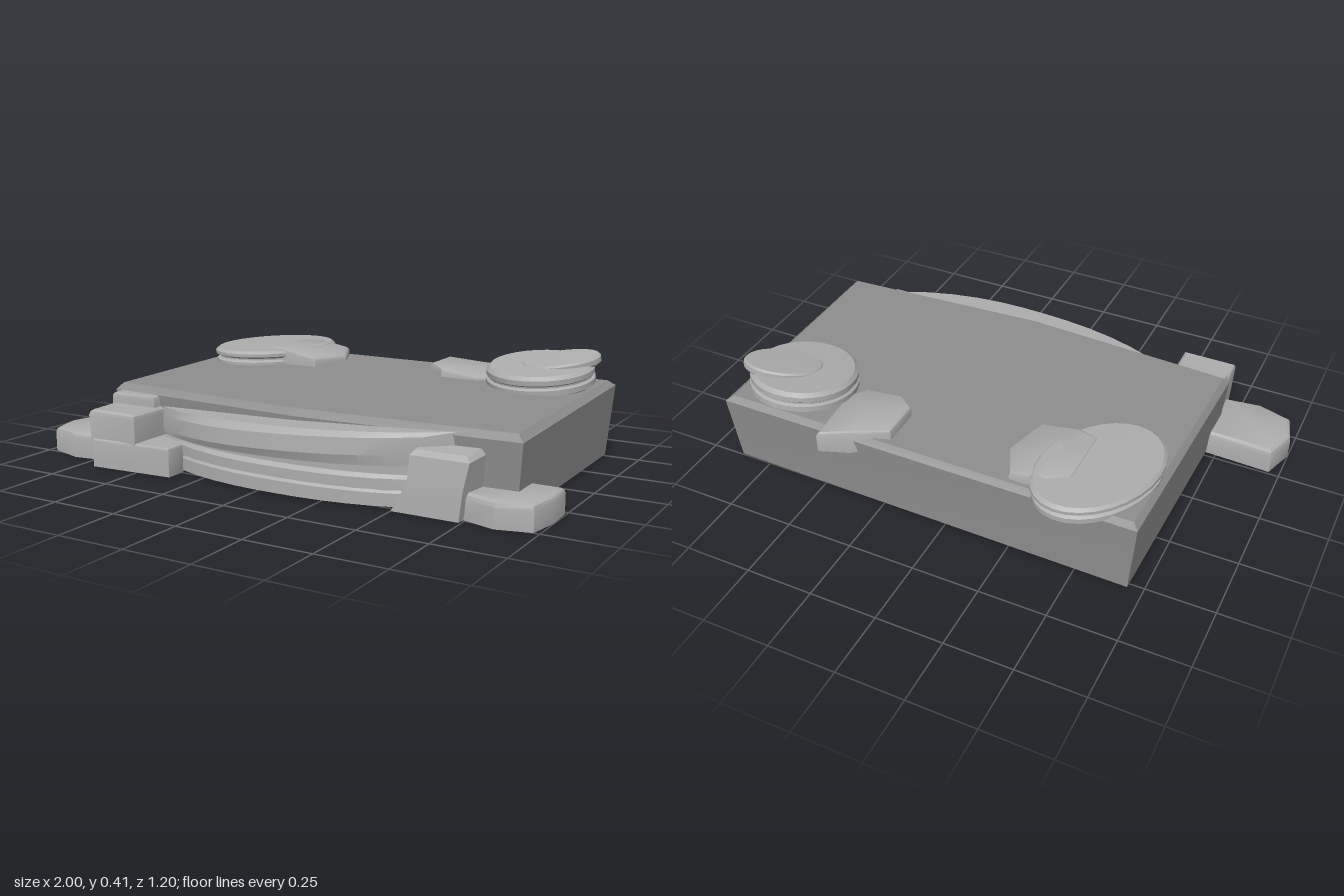
import * as THREE from 'three';
import { toCreasedNormals } from 'three/addons/utils/BufferGeometryUtils.js';

const stoneGrey = new THREE.MeshStandardMaterial({ color: 0xadadad });
const slabGrey = new THREE.MeshStandardMaterial({ color: 0x8e8e8e });

// Closed solid through a stack of rings, bottom to top; rings run front left -> right -> back.
function loft(rings, crease = 0.3) {
  const pos = [];
  const tri = (a, b, c) => pos.push(...a, ...b, ...c);
  const mid = r => [0, 1, 2].map(k => r.reduce((s, p) => s + p[k], 0) / r.length);
  const n = rings[0].length;
  for (let j = 0; j < rings.length - 1; j++) {
    for (let i = 0; i < n; i++) {
      const k = (i + 1) % n, a = rings[j], b = rings[j + 1];
      tri(a[i], a[k], b[k]);
      tri(a[i], b[k], b[i]);
    }
  }
  const low = rings[0], high = rings[rings.length - 1];
  const lowMid = mid(low), highMid = mid(high);
  for (let i = 0; i < n; i++) {
    const k = (i + 1) % n;
    tri(lowMid, low[k], low[i]);
    tri(highMid, high[i], high[k]);
  }
  const g = new THREE.BufferGeometry();
  g.setAttribute('position', new THREE.Float32BufferAttribute(pos, 3));
  g.computeVertexNormals();
  return toCreasedNormals(g, crease);
}

// Moves an [x, z] outline towards its middle by a distance.
function inset(outline, d) {
  const cx = outline.reduce((s, p) => s + p[0], 0) / outline.length;
  const cz = outline.reduce((s, p) => s + p[1], 0) / outline.length;
  return outline.map(([x, z]) => {
    const f = 1 - d / Math.hypot(x - cx, z - cz);
    return [cx + (x - cx) * f, cz + (z - cz) * f];
  });
}

// Stone with a rounded top edge; bottom and top heights may be functions of x and z.
function stone(outline, bottom, top, bevel = 0.015, foot = 0) {
  const at = h => (typeof h === 'function' ? h : () => h);
  const ring = (pts, h) => pts.map(([x, z]) => [x, h(x, z), z]);
  const lo = at(bottom), hi = at(top);
  return loft([
    ring(inset(outline, foot), lo),
    ring(outline, (x, z) => hi(x, z) - bevel),
    ring(inset(outline, bevel * 0.3), (x, z) => hi(x, z) - bevel * 0.35),
    ring(inset(outline, bevel), hi),
  ], 0.6);
}

// Round flat stones stacked as one turned profile.
function turned(profile, rx, rz, spin) {
  const g = new THREE.LatheGeometry(profile.map(p => new THREE.Vector2(...p)), 28);
  g.scale(rx, 1, rz);
  g.rotateY(spin);
  return toCreasedNormals(g, 0.5);
}

export function createModel() {
  const model = new THREE.Group();
  const add = (name, geometry, place = [0, 0, 0], tilt = [0, 0, 0], material = stoneGrey) => {
    const mesh = new THREE.Mesh(geometry, material);
    mesh.name = name;
    mesh.position.set(...place);
    mesh.rotation.set(...tilt);
    model.add(mesh);
  };

  // Main slab with a slightly pointed front and chamfered top edges
  const slabRing = (x0, x1, backLeft, backRight, front, tip, yFront, yBack) => [
    [x0, yFront, front], [0.08, yFront, tip], [x1, yFront, front],
    [x1 - 0.01, yBack, backLeft], [x0 + 0.02, yBack, backRight],
  ];
  add('slab', loft([
    slabRing(-0.715, 0.88, -0.5, -0.522, 0.39, 0.43, 0.005, 0.005),
    slabRing(-0.735, 0.9, -0.525, -0.525, 0.405, 0.45, 0.25, 0.27),
    slabRing(-0.715, 0.875, -0.505, -0.505, 0.385, 0.43, 0.274, 0.289),
  ], 0.2), [0, 0, 0], [0, 0, 0], slabGrey);

  // Bowed steps along the front
  const bow = (x0, x1, depth, h, back = 0.37) => {
    const pts = [];
    for (let i = 0; i <= 12; i++) {
      const x = x0 + (x1 - x0) * i / 12;
      const t = Math.abs(x - 0.08) / 0.6;
      pts.push([x, h(x), 0.41 + depth * (1 - t ** 2.4)]);
    }
    pts.push([x1, h(x1), back], [x0, h(x0), back]);
    return pts;
  };
  const slope = (y, rise) => x => y + rise * (x + 0.5) / 1.1;
  add('topStep', loft([
    bow(-0.5, 0.68, 0.155, slope(0.115, 0.03)),
    bow(-0.5, 0.68, 0.166, slope(0.13, 0.055)),
    bow(-0.5, 0.68, 0.16, slope(0.183, 0.06)),
    bow(-0.5, 0.68, 0.138, slope(0.212, 0.045)),
  ]));
  add('stepCore', loft([
    bow(-0.48, 0.64, 0.14, () => 0.03), bow(-0.48, 0.64, 0.14, slope(0.13, 0.03)),
  ]));
  add('middleStep', loft([
    bow(-0.48, 0.62, 0.16, () => 0.068), bow(-0.48, 0.62, 0.16, () => 0.1),
    bow(-0.48, 0.62, 0.145, () => 0.113),
  ]));
  add('bottomStep', loft([
    bow(-0.46, 0.6, 0.15, () => 0.005), bow(-0.46, 0.6, 0.15, () => 0.05),
    bow(-0.46, 0.6, 0.138, () => 0.06),
  ]));

  // Posts at the ends of the steps
  add('rightPost', stone([[-0.71, 0.588], [-0.5, 0.588], [-0.5, 0.38], [-0.72, 0.38]], 0, 0.21, 0.02, 0.012));
  add('rightPostCap', stone([[-0.715, 0.45], [-0.52, 0.45], [-0.52, 0.37], [-0.72, 0.37]], 0.18, 0.25, 0.015));
  add('rightPostFoot', stone([[-0.69, 0.596], [-0.36, 0.575], [-0.36, 0.5], [-0.4, 0.4], [-0.69, 0.4]], 0, 0.105, 0.01));
  add('leftPost', loft([
    [[0.5, 0, 0.525], [0.74, 0, 0.525], [0.75, 0, 0.38], [0.5, 0, 0.38]],
    [[0.555, 0.1, 0.52], [0.75, 0.1, 0.52], [0.77, 0.1, 0.38], [0.555, 0.1, 0.38]],
    [[0.555, 0.19, 0.505], [0.765, 0.19, 0.505], [0.78, 0.2, 0.38], [0.555, 0.2, 0.38]],
    [[0.57, 0.208, 0.49], [0.75, 0.208, 0.49], [0.765, 0.22, 0.38], [0.57, 0.22, 0.38]],
  ]));

  // Low stones at the sides
  add('rightSideStone', stone(
    [[-0.97, 0.49], [-0.84, 0.53], [-0.7, 0.51], [-0.7, 0.27], [-0.96, 0.26], [-1, 0.38]], 0, 0.095, 0.02));
  add('leftSideStone', stone(
    [[0.73, 0.49], [0.86, 0.53], [0.98, 0.5], [1, 0.38], [0.995, 0.27], [0.75, 0.27]], 0, 0.09, 0.02));

  // Oval stack on the back right corner, with a flat stone resting on its rim
  add('ovalStones', turned([
    [0, 0], [0.9, 0], [0.98, 0.01], [0.98, 0.028], [0.93, 0.036], [0.93, 0.042],
    [1, 0.05], [1, 0.062], [0.95, 0.072], [0, 0.075],
  ], 0.19, 0.27, -0.39), [-0.505, 0.265, -0.34]);
  add('rightFlatStone', stone(
    [[-0.45, -0.22], [-0.38, -0.2], [-0.23, -0.2], [-0.18, -0.36], [-0.24, -0.49], [-0.37, -0.49], [-0.45, -0.45]],
    0.265, x => Math.min(0.346, 0.31 - 0.18 * (x + 0.18)), 0.014));

  // Round stack on the back left corner, leaning forward
  add('roundStones', turned([
    [0, 0], [0.94, 0], [1, 0.008], [1, 0.028], [0.95, 0.034], [0.95, 0.04],
    [0.99, 0.046], [0.99, 0.064], [0.92, 0.077], [0, 0.08],
  ], 0.2, 0.2, 0), [0.667, 0.288, -0.335], [0.11, 0, 0.02]);
  add('smallOvalStone', turned([
    [0, 0], [0.95, 0], [1, 0.008], [1, 0.026], [0.95, 0.034], [0, 0.036],
  ], 0.145, 0.095, 0.5), [0.737, 0.353, -0.36], [0.17, 0, 0.08]);

  // Wedge hanging over the back edge
  add('leftFlatStone', stone(
    [[0.22, -0.33], [0.29, -0.27], [0.44, -0.27], [0.49, -0.33], [0.47, -0.57], [0.36, -0.53], [0.22, -0.48]],
    (x, z) => (z < -0.5 ? 0.215 : 0.265), x => 0.327 - 0.13 * (x - 0.22), 0.012));

  return model;
}
